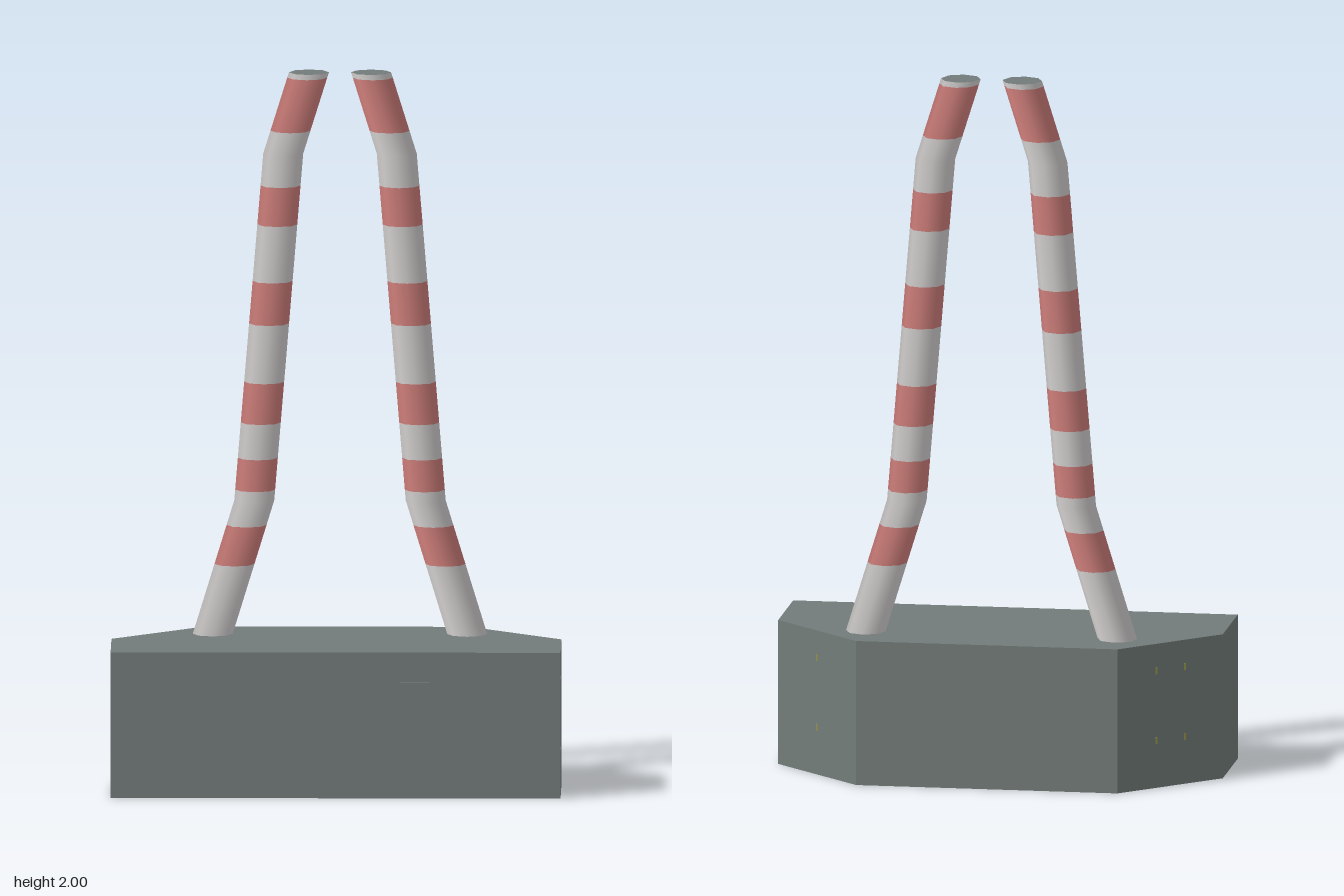
import * as THREE from 'three';

const mat = (name, color, extra = {}) => {
  const m = new THREE.MeshStandardMaterial({ color, ...extra });
  m.name = name;
  return m;
};

export function createModel() {
  const model = new THREE.Group();
  model.name = 'stripedPostsOnBlock';
  const concrete = mat('slateGrey', 0x737c7a);
  const white = mat('paleGrey', 0xd2cece);
  const red = mat('fadedRed', 0xcf7f7b);
  const yellow = mat('dullYellow', 0xa0a050);

  const add = (parent, name, geometry, material) => {
    const mesh = new THREE.Mesh(geometry, material);
    mesh.name = name;
    parent.add(mesh);
    return mesh;
  };

  // Base block: a slab with its two back corners cut off
  const H = 0.412;
  const outline = new THREE.Shape([
    [-0.63, -0.26], [0.63, -0.26], [0.63, 0.01],
    [0.37, 0.26], [-0.37, 0.26], [-0.63, 0.01],
  ].map(([x, y]) => new THREE.Vector2(x, y)));
  const block = new THREE.ExtrudeGeometry(outline, { depth: H, bevelEnabled: false });
  block.rotateX(-Math.PI / 2);
  add(model, 'baseBlock', block, concrete);

  // Bent posts: horizontal rings following a bent centre line
  const R = 0.056;
  const path = [[0.40, 0.36], [0.79, 0.24], [1.77, 0.159], [2, 0.087]];
  const bands = [[0.61, 0.72], [0.82, 0.91], [1.01, 1.125], [1.29, 1.41], [1.57, 1.68], [1.835, 1.985]];
  const centreAt = (y) => {
    let i = 0;
    while (i < path.length - 2 && y > path[i + 1][0]) i++;
    const [y0, x0] = path[i], [y1, x1] = path[i + 1];
    return x0 + (x1 - x0) * (y - y0) / (y1 - y0);
  };
  const levels = [...path.map((p) => p[0]), ...bands.flat()].sort((a, b) => a - b);

  for (const side of [1, -1]) {
    const post = new THREE.Group();
    post.name = side > 0 ? 'leftPost' : 'rightPost';
    post.position.set(0.009, 0, -0.115);
    model.add(post);

    for (let i = 0; i < levels.length - 1; i++) {
      const [a, b] = [levels[i], levels[i + 1]];
      const mid = (a + b) / 2;
      const isRed = bands.some(([lo, hi]) => mid > lo && mid < hi);
      const geo = new THREE.CylinderGeometry(R, R, b - a, 8, 1, true);
      geo.translate(0, mid, 0);
      // Slide each ring sideways onto the centre line
      const pos = geo.attributes.position;
      for (let v = 0; v < pos.count; v++) {
        pos.setX(v, pos.getX(v) + side * centreAt(pos.getY(v)));
      }
      add(post, isRed ? 'redBand' : 'paleBand', geo, isRed ? red : white);
    }

    // Flat end of the post
    const cap = new THREE.CircleGeometry(R, 8);
    cap.rotateX(-Math.PI / 2);
    add(post, 'postEnd', cap, concrete).position.set(side * centreAt(2), 2, 0);
  }

  // Hairline marks on the block
  const mark = (name, x, y, z, w, h, turn, material) => {
    const m = add(model, name, new THREE.BoxGeometry(w, h, 0.002), material);
    m.position.set(x, y, z);
    m.rotation.y = turn;
  };
  mark('frontMark', 0.26, 0.325, 0.26, 0.16, 0.004, 0, concrete);
  for (const y of [0.135, 0.335]) {
    mark('sideMark', 0.63, y, 0.2, 0.06, 0.004, Math.PI / 2, concrete);
    mark('cornerPin', 0.5, y, -0.135, 0.006, 0.02, Math.PI * 0.75, yellow);
    for (const t of [0.37, 0.64]) {
      mark('cornerPin', -0.37 - 0.26 * t, y, -0.26 + 0.25 * t, 0.006, 0.02, -Math.PI * 0.75, yellow);
    }
  }

  return model;
}
